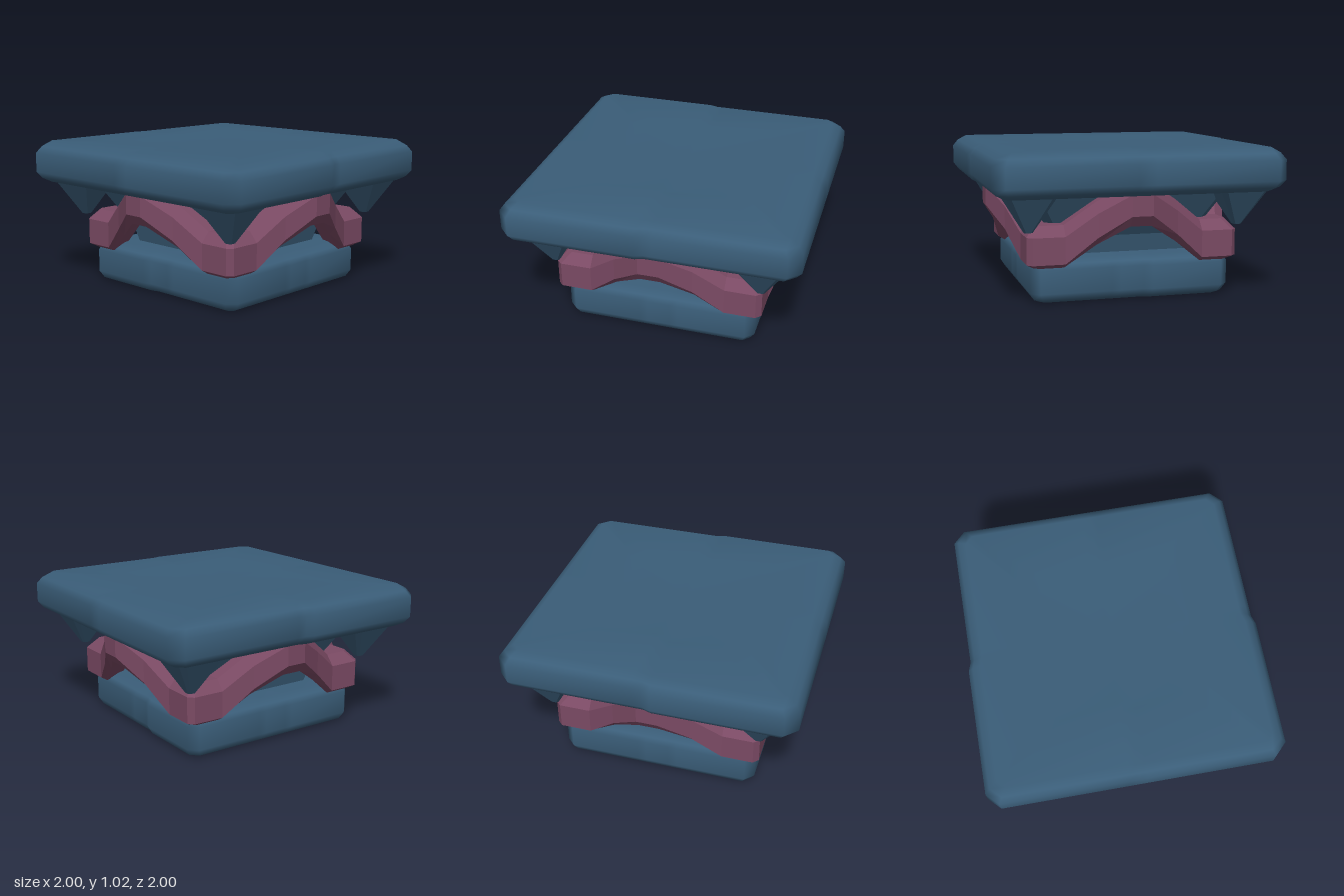
import * as THREE from 'three';

const blue = new THREE.MeshStandardMaterial({ color: 0x3a5d78 });
blue.name = 'slate blue';
const plum = new THREE.MeshStandardMaterial({ color: 0x7b4a64 });
plum.name = 'muted plum';

// Skin a stack of equal-length rings; ends are capped, or joined when closed.
function loft(rings, { closed = false, flat = false } = {}) {
  const n = rings[0].length, m = rings.length;
  const pos = rings.flat(2), index = [];
  for (let j = 0; j < (closed ? m : m - 1); j++) {
    for (let i = 0; i < n; i++) {
      const k = (i + 1) % n, up = (j + 1) % m;
      const a = j * n + i, b = j * n + k, c = up * n + k, d = up * n + i;
      index.push(a, d, b, b, d, c);
    }
  }
  if (!closed) {
    const center = (ring) => [0, 1, 2].map((c) => ring.reduce((s, p) => s + p[c], 0) / n);
    pos.push(...center(rings[0]), ...center(rings[m - 1]));
    for (let i = 0; i < n; i++) {
      const k = (i + 1) % n, top = (m - 1) * n;
      index.push(m * n, i, k, m * n + 1, top + k, top + i);
    }
  }
  let geo = new THREE.BufferGeometry();
  geo.setAttribute('position', new THREE.Float32BufferAttribute(pos, 3));
  geo.setIndex(index);
  if (flat) geo = geo.toNonIndexed();
  geo.computeVertexNormals();
  return geo;
}

// Repeat one side (points as [out, y, along]) around the four sides.
function fourSides(side) {
  const ring = [];
  for (let q = 0; q < 4; q++) {
    const c = [1, 0, -1, 0][q], s = [0, 1, 0, -1][q];
    for (const [o, y, t] of side) ring.push([c * o - s * t, y, s * o + c * t]);
  }
  return ring;
}

// Square ring with cut corners and optional extra points along each side.
const square = (w, y, cut, steps = []) =>
  fourSides([-(w - cut), ...steps, w - cut].map((t) => [w, y, t]));

export function createModel() {
  const model = new THREE.Group();
  const add = (name, geo, mat = blue) => {
    const mesh = new THREE.Mesh(geo, mat);
    mesh.name = name;
    model.add(mesh);
    return mesh;
  };

  // Top slab: soft edges, a shallow dished square, front half a little wider
  const topRings = [
    [0.91, 0.735, 0.05], [0.965, 0.765, 0.07], [0.998, 0.81, 0.08], [0.998, 0.945, 0.08],
    [0.965, 0.99, 0.07], [0.91, 1.025, 0.05], [0.54, 1.023, 0.1], [0.47, 1.012, 0.1],
  ].map(([w, y, cut]) => square(w, y, cut, [-0.06, 0, 0.06])
    .map(([x, py, z]) => [z < 0.01 ? x * 0.98 : x, py, z]));
  add('topSlab', loft(topRings));

  // Bottom slab: a shallow step on its front and back
  const baseRings = [
    [0.61, 0.005, 0.03], [0.655, 0.025, 0.05], [0.685, 0.075, 0.06],
    [0.685, 0.235, 0.06], [0.66, 0.27, 0.05], [0.6, 0.3, 0.04],
  ].map(([w, y, cut]) => square(w, y, cut, [-0.14, -0.08, 0.08, 0.14])
    .map(([x, py, z]) => [x, py, x > -0.1 ? z * 0.975 : z]));
  add('bottomSlab', loft(baseRings));

  // Flared core between the slabs
  add('core', loft([[0.46, 0.26], [0.5, 0.42], [0.57, 0.53], [0.7, 0.76]]
    .map(([w, y]) => square(w, y, 0.05)), { flat: true }));

  // Corner studs pointing down from the top slab
  const studGeo = loft([[0.028, 0.5, 0.012], [0.17, 0.745, 0.035], [0.17, 0.78, 0.035]]
    .map(([w, y, cut]) => square(w, y, cut)), { flat: true });
  for (const x of [-1, 1]) for (const z of [-1, 1]) {
    const stud = add('cornerStud', studGeo);
    stud.position.set(x * 0.715, 0, z * 0.715);
  }

  // Waving band: low at the corners, arching up and outward mid-side.
  // Stations: [along, outer distance, rise]
  const half = [[0.685, 0.72, 0], [0.47, 0.72, 0], [0.27, 0.79, 0.55], [0.07, 0.89, 1]];
  const stations = [
    ...half.map(([t, o, k]) => [-t, o, k]),
    ...half.slice().reverse(),
  ];
  // Section corners: [inset, low y, high y]
  const section = [
    [0, 0.28, 0.6], [0, 0.46, 0.74], [0.06, 0.53, 0.81],
    [0.16, 0.53, 0.81], [0.19, 0.47, 0.74], [0.19, 0.3, 0.58], [0.05, 0.25, 0.53],
  ];
  const bandRings = section.map(([inset, lo, hi]) => fourSides(stations.map(([t, o, k]) => {
    const along = Math.abs(t) > 0.6 ? t - Math.sign(t) * inset : t;
    return [o - inset, lo + (hi - lo) * k, along];
  })));
  add('wavingBand', loft(bandRings, { closed: true, flat: true }), plum);

  return model;
}
